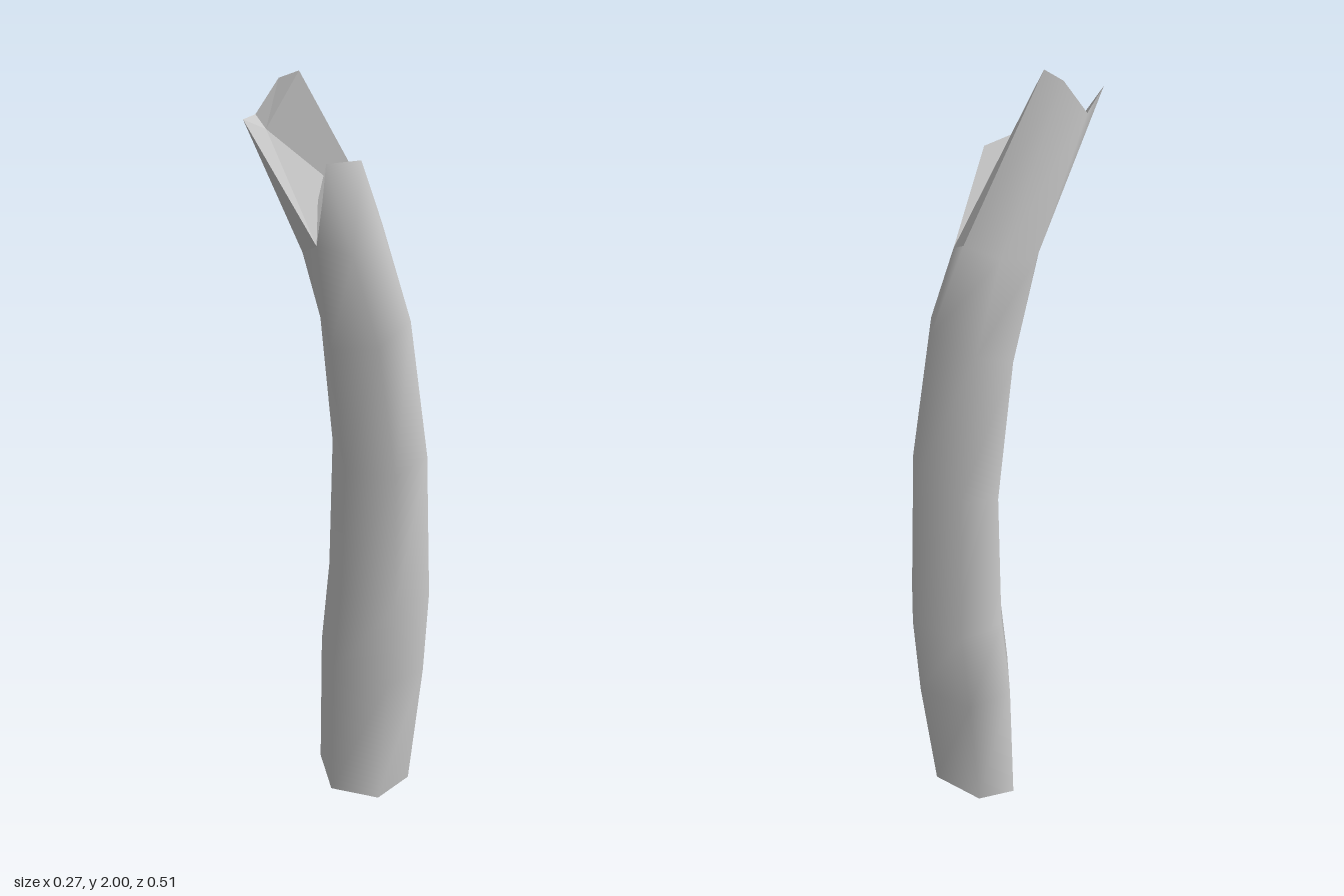
import * as THREE from 'three';
import { mergeVertices } from 'three/addons/utils/BufferGeometryUtils.js';

// Collects polygons (corners counter-clockwise from outside) as triangle fans
function polygons(list) {
  const pos = [];
  for (const p of list)
    for (let i = 1; i < p.length - 1; i++) pos.push(...p[0], ...p[i], ...p[i + 1]);
  const g = new THREE.BufferGeometry();
  g.setAttribute('position', new THREE.Float32BufferAttribute(pos, 3));
  return g;
}

function addMesh(group, name, list, smooth) {
  let geo = polygons(list);
  if (smooth) geo = mergeVertices(geo, 1e-4);
  geo.computeVertexNormals();
  const mat = new THREE.MeshStandardMaterial({
    color: 0xcccccc, side: THREE.DoubleSide, flatShading: !smooth,
  });
  const mesh = new THREE.Mesh(geo, mat);
  mesh.name = name;
  group.add(mesh);
}

// Six-sided ring, tilted front to back; front and back corners are doubled
// so they can split into the two splinters at the top.
// Order: back, back, leftBack, leftFront, front, front, rightFront, rightBack
function ring([yF, zF, yB, zB, w, cx = 0]) {
  const at = (x, t) => [cx + x, yB + (yF - yB) * t, zB + (zF - zB) * t];
  return [at(0, 0), at(0, 0), at(w, 0.27), at(w, 0.73),
    at(0, 1), at(0, 1), at(-w, 0.73), at(-w, 0.27)];
}

export function createModel() {
  const group = new THREE.Group();
  group.name = 'brokenStem';

  // Curved trunk: frontY, frontZ, backY, backZ, halfWidth, centreX
  const rings = [
    [0, 0.035, 0.04, -0.19, 0.12, 0.006],
    [0.37, 0.02, 0.36, -0.235, 0.135, 0],
    [0.6, -0.005, 0.58, -0.252, 0.131, 0],
    [0.95, -0.015, 1.0, -0.238, 0.121, 0],
    [1.3, 0.03, 1.39, -0.185, 0.109, 0],
    [1.56, 0.092, 1.61, -0.108, 0.095, -0.003],
  ].map(ring);

  // Split the front and back corners of the last ring
  const top = rings[rings.length - 1];
  top[0] = [-0.02, 1.61, -0.108];
  top[1] = [0.015, 1.59, -0.115];
  top[4] = [0.022, 1.59, 0.088];
  top[5] = [-0.025, 1.56, 0.092];
  const [B, H, LB, LF, G, F, RF, RB] = top;

  // Splinter tips
  const tF = [-0.025, 1.925, 0.255], tRF = [-0.085, 1.9, 0.175];
  const tRB = [-0.063, 1.98, 0.125], tB = [-0.028, 2.0, 0.095];
  const notch = [-0.06, 1.87, 0.165];
  const tLF = [0.075, 1.812, 0.102], tLB = [0.075, 1.795, 0.0];
  const mid = [0.055, 1.72, 0.11];

  const bark = [];
  for (let r = 0; r < rings.length - 1; r++)
    for (let i = 0; i < 8; i++) {
      const j = (i + 1) % 8, a = rings[r], b = rings[r + 1];
      bark.push([a[j], a[i], b[i]], [a[j], b[i], b[j]]);
    }
  // Outer skin of the tall and short splinters
  bark.push([RF, F, tF, tRF], [RB, RF, tRF, tRB], [B, RB, tRB, tB]);
  bark.push([LB, H, tLB], [LF, LB, tLB, tLF], [G, LF, tLF, mid]);
  addMesh(group, 'trunk', bark, true);

  // Torn inner faces and notched tip of the tall splinter
  addMesh(group, 'tallSplinterBreak', [
    [G, H, notch], [H, tB, notch], [G, notch, tF],
    [F, G, tF], [H, B, tB],
    [notch, tRF, tF], [notch, tRB, tRF], [notch, tB, tRB],
  ], false);

  // Torn inner face of the short splinter
  addMesh(group, 'shortSplinterBreak', [[H, G, mid, tLF, tLB]], false);

  // Flat cut at the foot
  const b = rings[0];
  addMesh(group, 'baseCut', [[b[0], b[2], b[3], b[4], b[6], b[7]]], false);

  return group;
}
